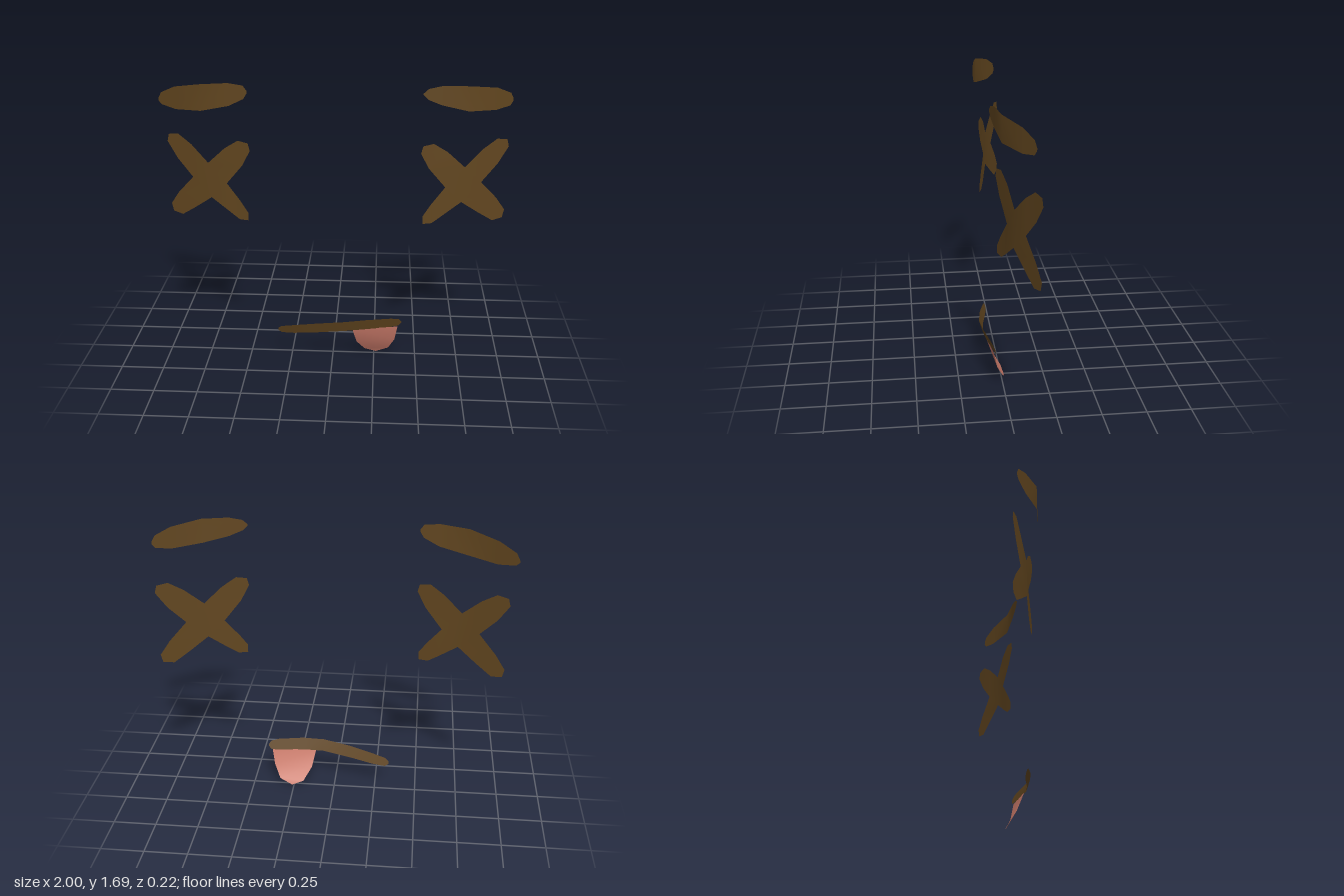
import * as THREE from 'three';
import { mergeVertices } from 'three/addons/utils/BufferGeometryUtils.js';

// piecewise linear curve through [x, z] pairs
function curve(pts) {
  return (x) => {
    let i = 1;
    while (i < pts.length - 1 && x > pts[i][0]) i++;
    const [x0, z0] = pts[i - 1], [x1, z1] = pts[i];
    return z0 + ((x - x0) / (x1 - x0)) * (z1 - z0);
  };
}

// curved sheet made of strips; each strip is a list of point pairs [[x, y], [x, y]]
function sheet(strips, depth) {
  const pos = [];
  const tri = (a, b, c) => {
    const area = (b[0] - a[0]) * (c[1] - a[1]) - (b[1] - a[1]) * (c[0] - a[0]);
    if (Math.abs(area) < 1e-7) return;
    for (const p of area > 0 ? [a, b, c] : [a, c, b]) pos.push(p[0], p[1], depth(p[0], p[1]));
  };
  for (const rows of strips) {
    for (let i = 0; i + 1 < rows.length; i++) {
      const [a, b] = rows[i], [c, d] = rows[i + 1];
      tri(a, b, d);
      tri(a, d, c);
    }
  }
  const geo = new THREE.BufferGeometry();
  geo.setAttribute('position', new THREE.Float32BufferAttribute(pos, 3));
  const merged = mergeVertices(geo, 1e-4);
  merged.computeVertexNormals();
  return merged;
}

// [x, top, bottom] rows to point pairs
const columns = (rows) => rows.map(([x, t, b]) => [[x, t], [x, b]]);

export function createModel() {
  const group = new THREE.Group();
  const brown = new THREE.MeshStandardMaterial({ color: 0x62461f, side: THREE.DoubleSide });
  brown.name = 'darkBrown';
  const pink = new THREE.MeshStandardMaterial({ color: 0xcf7d6c, side: THREE.DoubleSide });
  pink.name = 'tonguePink';
  const add = (name, geo, mat) => {
    const mesh = new THREE.Mesh(geo, mat);
    mesh.name = name;
    group.add(mesh);
  };

  // the left side sits slightly further from the middle
  const shift = 0.027;
  const out = (x) => (x > 0 ? x - shift : -x);

  // eyebrows
  const browZ = curve([[0.465, 0.089], [0.725, 0.052], [1, -0.095]]);
  const browDepth = (x) => browZ(out(x));
  add('rightEyebrow', sheet([columns([
    [-0.465, 1.66, 1.65], [-0.487, 1.69, 1.615], [-0.572, 1.7, 1.572], [-0.733, 1.685, 1.535],
    [-0.89, 1.65, 1.52], [-0.98, 1.604, 1.535], [-1, 1.565, 1.555],
  ])], browDepth), brown);
  add('leftEyebrow', sheet([columns([
    [0.492, 1.66, 1.652], [0.52, 1.685, 1.625], [0.595, 1.7, 1.593], [0.745, 1.695, 1.555],
    [0.9, 1.67, 1.545], [0.98, 1.632, 1.56], [0.997, 1.6, 1.585],
  ])], browDepth), brown);

  // crossed eyes: a middle patch with four tapered arms
  const top = [0.717, 1.214], inner = [0.61, 1.1], bottom = [0.706, 1.005], outer = [0.818, 1.112];
  const tip = (x, y) => [[x, y], [x, y]];
  const cross = [
    [[top, inner], [outer, bottom]],
    [[top, inner], [[0.615, 1.31], [0.513, 1.219]], [[0.535, 1.363], [0.465, 1.31]], tip(0.476, 1.353)],
    [[outer, top], [[0.909, 1.214], [0.818, 1.31]], [[0.968, 1.31], [0.898, 1.363]], tip(0.957, 1.353)],
    [[inner, bottom], [[0.53, 1], [0.594, 0.925]], [[0.487, 0.936], [0.54, 0.888]], tip(0.487, 0.888)],
    [[bottom, outer], [[0.813, 0.925], [0.914, 1.005]], [[0.898, 0.866], [0.968, 0.925]], tip(0.957, 0.877)],
  ];
  const eyeZ = curve([[0.465, 0.056], [0.61, 0.014], [0.717, -0.01], [0.818, -0.054], [0.968, -0.113]]);
  for (const [name, side] of [['leftEye', 1], ['rightEye', -1]]) {
    const place = ([x, y]) => [side > 0 ? x + shift : -x, y];
    const strips = cross.map((rows) => rows.map((row) => row.map(place)));
    add(name, sheet(strips, (x) => eyeZ(out(x))), brown);
  }

  // mouth: a bowed band leaning forward at the top
  const mouthZ = curve([[-0.332, 0.035], [-0.13, 0.075], [0.083, 0.1], [0.243, 0.083], [0.412, 0.048]]);
  const midY = curve([[-0.332, 0.174], [0.1, 0.24], [0.412, 0.25]]);
  add('mouth', sheet([columns([
    [-0.332, 0.184, 0.165], [-0.31, 0.2, 0.15], [-0.235, 0.217, 0.154], [-0.09, 0.247, 0.176],
    [0.075, 0.272, 0.201], [0.2, 0.283, 0.211], [0.35, 0.283, 0.216], [0.395, 0.275, 0.223],
    [0.412, 0.255, 0.245],
  ])], (x, y) => mouthZ(x) + (y - midY(x)) * 0.3), brown);

  // tongue: hangs below the mouth and slopes back
  const tongueZ = curve([[0.01, -0.017], [0.04, -0.004], [0.115, 0.04], [0.215, 0.068]]);
  add('tongue', sheet([[
    [[0.121, 0.208], [0.39, 0.222]],
    [[0.144, 0.107], [0.374, 0.123]],
    [[0.193, 0.032], [0.337, 0.043]],
    tip(0.262, 0.008),
  ]], (x, y) => tongueZ(y) + (0.255 - x) * 0.12 * Math.min(1, y / 0.2)), pink);

  return group;
}
